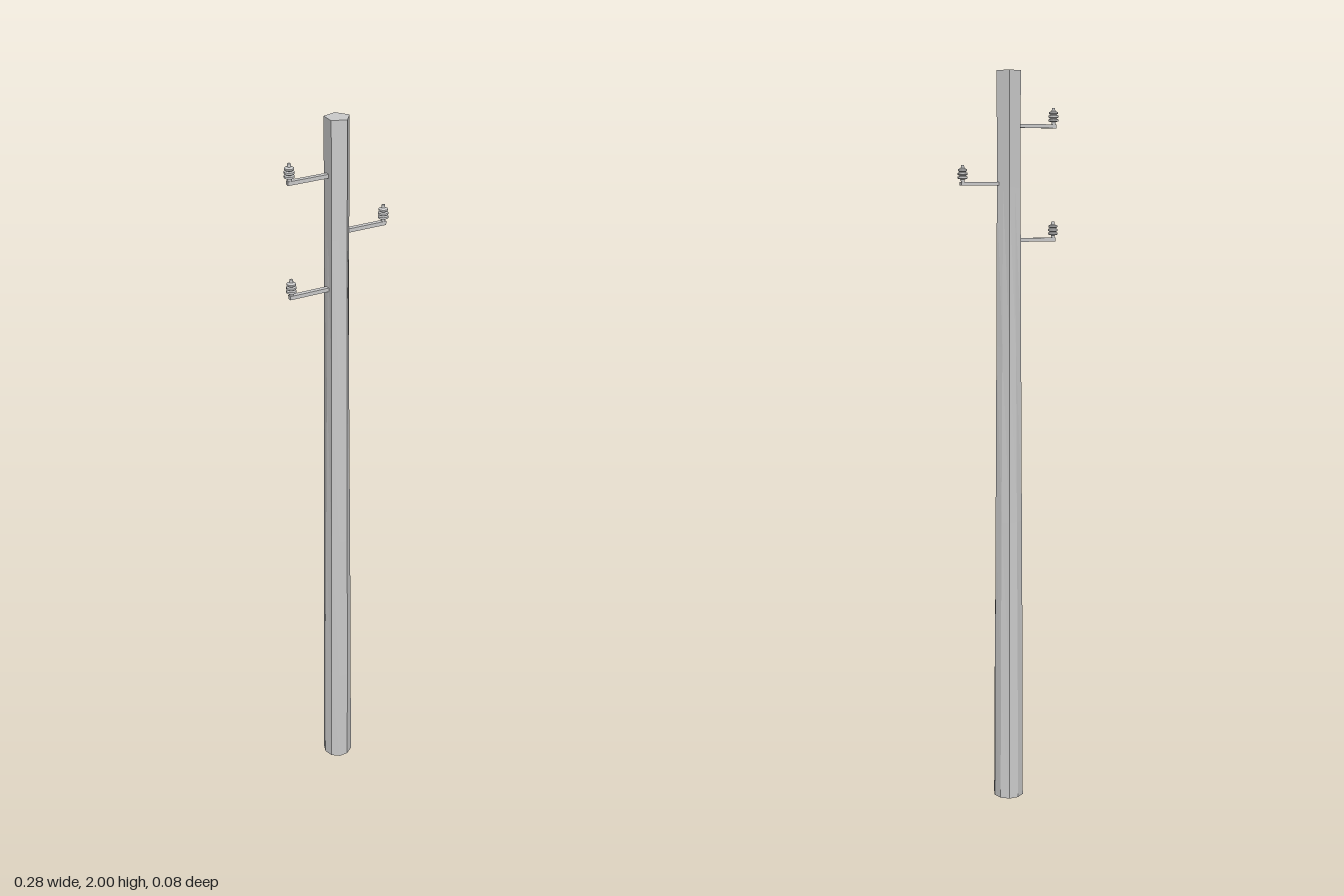
import * as THREE from 'three';

const grey = new THREE.MeshStandardMaterial({ color: 0xcccccc, flatShading: true });

// Ten-sided ring; every second corner sinks in to make a pentagon when round = 0
function ring(y, radius, round) {
  const points = [];
  for (let i = 0; i < 10; i++) {
    const angle = (i * Math.PI) / 5;
    const r = i % 2 ? radius * THREE.MathUtils.lerp(Math.cos(Math.PI / 5), 1, round) : radius;
    points.push([r * Math.cos(angle), y, r * Math.sin(angle)]);
  }
  return points;
}

// Skin between rings ordered from bottom to top, closed at both ends
function loft(rings) {
  const positions = [];
  const face = (a, b, c) => positions.push(...a, ...b, ...c);
  const bottom = rings[0];
  const top = rings[rings.length - 1];
  for (let i = 0; i < 10; i++) {
    const j = (i + 1) % 10;
    for (let k = 0; k < rings.length - 1; k++) {
      const low = rings[k];
      const high = rings[k + 1];
      face(low[i], high[i], high[j]);
      face(low[i], high[j], low[j]);
    }
    face([0, bottom[0][1], 0], bottom[i], bottom[j]);
    face([0, top[0][1], 0], top[j], top[i]);
  }
  const geometry = new THREE.BufferGeometry();
  geometry.setAttribute('position', new THREE.Float32BufferAttribute(positions, 3));
  geometry.computeVertexNormals();
  return geometry;
}

function add(parent, name, geometry, x = 0, y = 0, z = 0) {
  const mesh = new THREE.Mesh(geometry, grey);
  mesh.name = name;
  mesh.position.set(x, y, z);
  parent.add(mesh);
}

export function createModel() {
  const model = new THREE.Group();
  model.name = 'utilityPole';

  // Tapered pole: ten-sided foot turning into a pentagonal top
  add(model, 'pole', loft([
    ring(0, 0.042, 1),
    ring(0.32, 0.041, 0.9),
    ring(0.8, 0.038, 0.7),
    ring(1.28, 0.035, 0.4),
    ring(1.7, 0.033, 0),
    ring(2, 0.033, 0),
  ]));

  // Ribbed insulator profile: pin, three discs and a small cap
  const profile = [
    [0, 0], [0.005, 0], [0.005, 0.011], [0.013, 0.013], [0.013, 0.018],
    [0.008, 0.02], [0.013, 0.023], [0.013, 0.028], [0.008, 0.03],
    [0.012, 0.033], [0.012, 0.037], [0.005, 0.04], [0.004, 0.048], [0, 0.048],
  ].map(([x, y]) => new THREE.Vector2(x, y));
  const insulator = new THREE.LatheGeometry(profile, 12);

  // Arms alternate from side to side, each carrying one upright insulator
  for (const [side, y] of [[-1, 1.86], [1, 1.71], [-1, 1.563]]) {
    const bracket = new THREE.Group();
    bracket.name = side > 0 ? 'leftBracket' : 'rightBracket';
    bracket.position.y = y;
    add(bracket, 'arm', new THREE.BoxGeometry(0.12, 0.01, 0.012), side * 0.075);
    add(bracket, 'insulator', insulator, side * 0.129);
    model.add(bracket);
  }
  return model;
}
